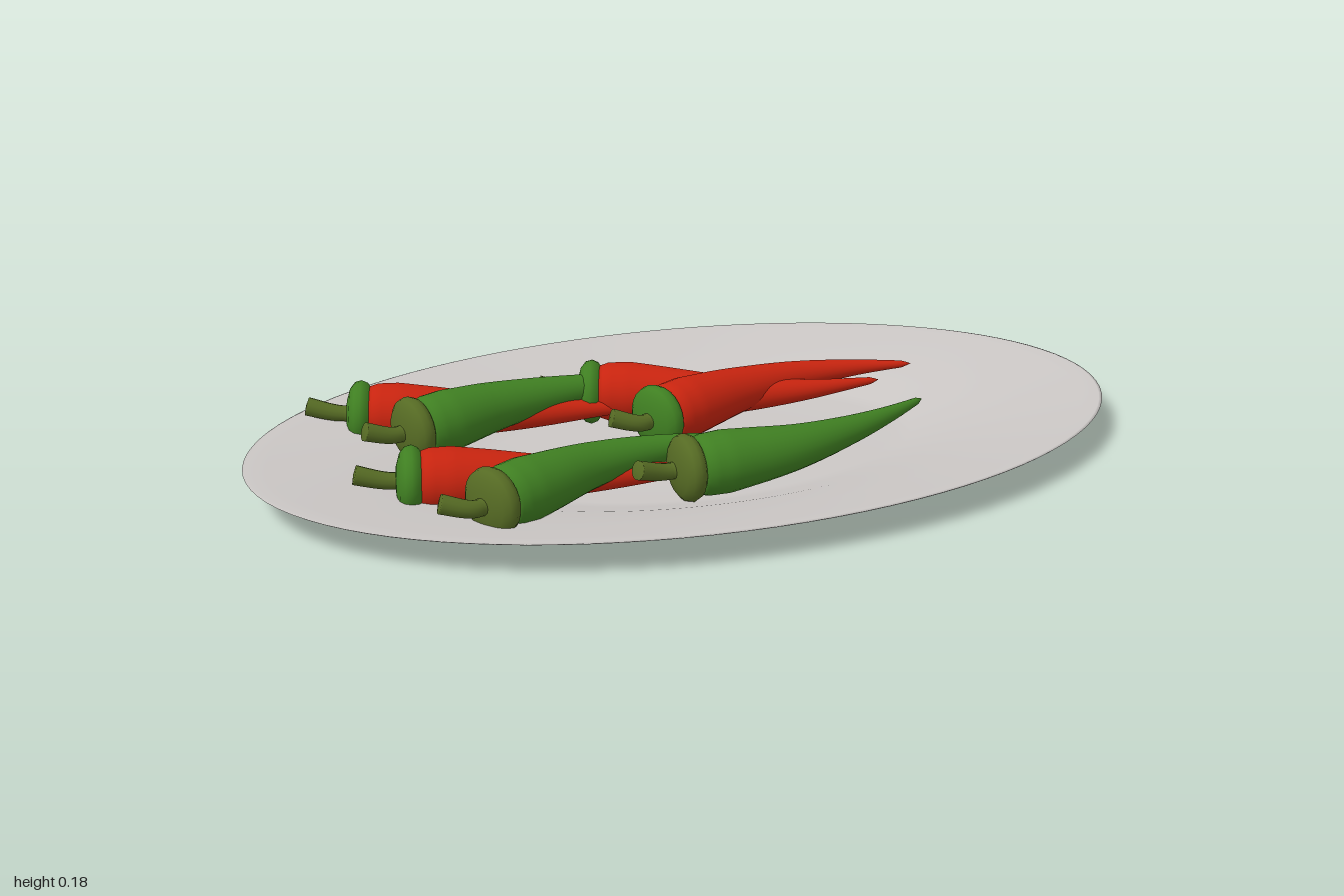
import * as THREE from 'three';
import { mergeVertices } from 'three/addons/utils/BufferGeometryUtils.js';

const V = (x, y, z) => new THREE.Vector3(x, y, z);

// Tube whose radius follows a list of [t, radius] stops along the curve
function taperedTube(curve, stops, segments, sides) {
  const radiusAt = (t) => {
    let i = 1;
    while (i < stops.length - 1 && t > stops[i][0]) i++;
    const [t0, r0] = stops[i - 1], [t1, r1] = stops[i];
    return THREE.MathUtils.lerp(r0, r1, THREE.MathUtils.clamp((t - t0) / (t1 - t0), 0, 1));
  };
  const geo = new THREE.TubeGeometry(curve, segments, 1, sides, false);
  const pos = geo.attributes.position, p = V(0, 0, 0);
  for (let i = 0; i <= segments; i++) {
    const t = i / segments, c = curve.getPointAt(t), r = radiusAt(t);
    for (let j = 0; j <= sides; j++) {
      const k = i * (sides + 1) + j;
      p.fromBufferAttribute(pos, k).sub(c).multiplyScalar(r).add(c);
      pos.setXYZ(k, p.x, p.y, p.z);
    }
  }
  geo.deleteAttribute('uv');
  geo.deleteAttribute('normal');
  const smooth = mergeVertices(geo, 1e-5);
  smooth.computeVertexNormals();
  return smooth;
}

export function createModel() {
  const mat = (name, color) => {
    const m = new THREE.MeshStandardMaterial({ color });
    m.name = name;
    return m;
  };
  const red = mat('pepper red', 0xc8240f);
  const green = mat('pepper green', 0x408022);
  const olive = mat('stem olive', 0x566b24);
  const china = mat('plate grey', 0xcbc7c5);

  const model = new THREE.Group();
  model.name = 'plateOfPeppers';
  const add = (parent, name, geo, material) => {
    const mesh = new THREE.Mesh(geo, material);
    mesh.name = name;
    parent.add(mesh);
    return mesh;
  };

  // Oval plate: underside, rim, then the shallow inside
  const profile = [
    [0, 0], [0.3, 0], [0.52, 0], [0.54, 0.003], [0.64, 0.029], [0.8, 0.05], [0.95, 0.066], [0.995, 0.072],
    [1, 0.075], [0.992, 0.077], [0.95, 0.073], [0.8, 0.058], [0.64, 0.038], [0.53, 0.016], [0.48, 0.011],
    [0.3, 0.009], [0, 0.009],
  ].map(([x, y]) => new THREE.Vector2(x, y));
  add(model, 'plate', new THREE.LatheGeometry(profile, 96), china).scale.z = 0.622;

  const bodyStops = [
    [0, 0], [0.012, 0.058], [0.05, 0.067], [0.12, 0.069], [0.25, 0.06], [0.4, 0.048],
    [0.6, 0.033], [0.8, 0.019], [0.97, 0.008], [1, 0],
  ];
  const stemStops = [[0, 0.024], [0.3, 0.018], [0.9, 0.021], [0.94, 0.021], [0.95, 0.019], [0.96, 0]];
  const capProfile = [
    [0, -0.03], [0.05, -0.024], [0.068, -0.012], [0.074, 0.002], [0.07, 0.016],
    [0.056, 0.027], [0.03, 0.034], [0, 0.036],
  ].map(([x, y]) => new THREE.Vector2(x, y));

  // Pepper: path of [x, z] points from shoulder to tip, heights at both ends, stem end
  function pepper(name, skin, capMat, y0, y1, stemEnd, path) {
    const group = new THREE.Group();
    group.name = name;
    const x0 = path[0][0], x1 = path[path.length - 1][0];
    const curve = new THREE.CatmullRomCurve3(
      path.map(([x, z]) => V(x, THREE.MathUtils.lerp(y0, y1, (x - x0) / (x1 - x0)), z)));
    add(group, 'body', taperedTube(curve, bodyStops, 60, 24), skin);

    // Cap faces back along the body towards the stem
    const back = curve.getTangentAt(0).negate();
    const base = curve.getPointAt(0).addScaledVector(back, 0.002);
    const cap = add(group, 'cap', new THREE.LatheGeometry(capProfile, 24), capMat);
    cap.position.copy(base);
    cap.quaternion.setFromUnitVectors(V(0, 1, 0), back);

    const end = V(stemEnd[0], y0 + 0.02, stemEnd[1]);
    const stem = new THREE.CatmullRomCurve3([base, base.clone().addScaledVector(back, 0.055), end]);
    add(group, 'stem', taperedTube(stem, stemStops, 50, 12), olive);
    model.add(group);
  }

  pepper('redPepperBack', red, green, 0.082, 0.06, [-0.8, -0.34],
    [[-0.675, -0.295], [-0.55, -0.255], [-0.42, -0.215], [-0.3, -0.185], [-0.18, -0.17], [-0.03, -0.15]]);
  pepper('redPepperFront', red, green, 0.082, 0.06, [-0.8, 0.1],
    [[-0.675, 0.13], [-0.55, 0.16], [-0.42, 0.193], [-0.3, 0.222], [-0.18, 0.238], [-0.03, 0.245]]);
  pepper('redPepperMiddle', red, green, 0.085, 0.09, [-0.275, -0.275],
    [[-0.15, -0.225], [-0.07, -0.19], [0.03, -0.135], [0.15, -0.075], [0.3, -0.045], [0.49, -0.04]]);
  pepper('redPepperTop', red, green, 0.102, 0.11, [-0.21, 0.036],
    [[-0.085, 0.025], [0, -0.01], [0.14, -0.062], [0.3, -0.095], [0.45, -0.09], [0.585, -0.063]]);
  pepper('greenPepperBack', green, olive, 0.1, 0.11, [-0.73, -0.088],
    [[-0.605, -0.108], [-0.52, -0.133], [-0.42, -0.168], [-0.3, -0.193], [-0.15, -0.205], [0.065, -0.183]]);
  pepper('greenPepperFront', green, olive, 0.101, 0.1, [-0.69, 0.358],
    [[-0.565, 0.345], [-0.45, 0.292], [-0.32, 0.235], [-0.17, 0.203], [0, 0.205], [0.1, 0.215]]);
  pepper('greenPepperRight', green, olive, 0.08, 0.085, [-0.245, 0.295],
    [[-0.115, 0.277], [0, 0.272], [0.14, 0.258], [0.3, 0.21], [0.42, 0.158], [0.53, 0.1]]);

  return model;
}
